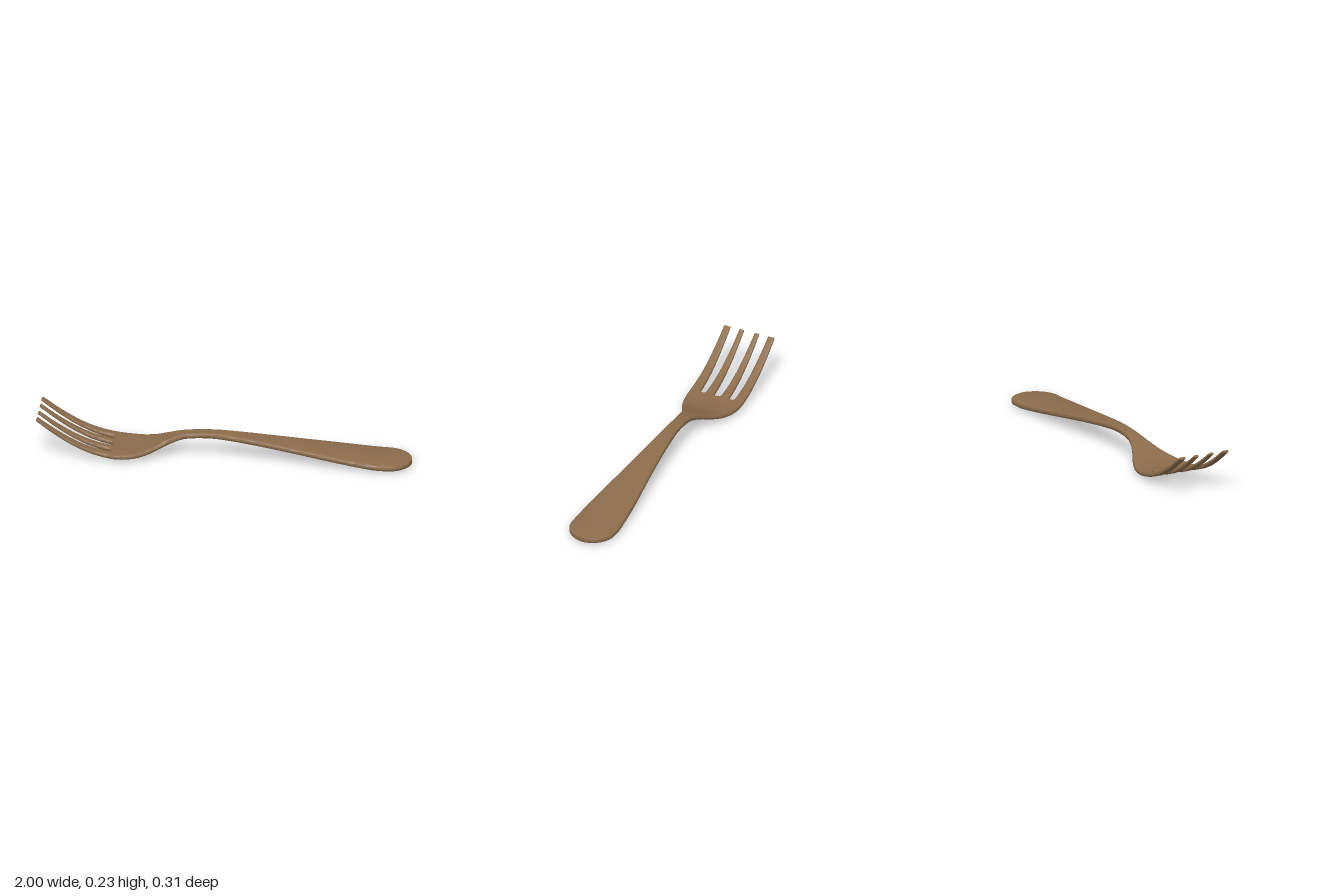
import * as THREE from 'three';
import { toCreasedNormals } from 'three/addons/utils/BufferGeometryUtils.js';

// Smooth curve through [x, value] pairs sorted by x
function smooth(pts) {
  const last = pts.length - 1;
  const slope = (i) => {
    const a = pts[Math.max(i - 1, 0)], b = pts[Math.min(i + 1, last)];
    return (b[1] - a[1]) / (b[0] - a[0]);
  };
  return (x) => {
    let i = 0;
    while (i < last - 1 && x > pts[i + 1][0]) i++;
    const [x0, y0] = pts[i], [x1, y1] = pts[i + 1];
    const h = x1 - x0, t = THREE.MathUtils.clamp((x - x0) / h, 0, 1), u = 1 - t;
    return y0 * (1 + 2 * t) * u * u + slope(i) * h * t * u * u
      + y1 * t * t * (3 - 2 * t) - slope(i + 1) * h * t * t * u;
  };
}

// Height of the centre line, half width, half thickness and crown along x
const spine = smooth([[-1, 0.236], [-0.9, 0.165], [-0.8, 0.106], [-0.7, 0.064], [-0.6, 0.041],
  [-0.53, 0.036], [-0.45, 0.043], [-0.38, 0.063], [-0.3, 0.097], [-0.22, 0.122], [-0.1, 0.132],
  [0, 0.129], [0.2, 0.108], [0.4, 0.083], [0.6, 0.057], [0.8, 0.034], [0.9, 0.03], [1, 0.028]]);
const widthCurve = smooth([[-1, 0.149], [-0.8, 0.153], [-0.6, 0.156], [-0.55, 0.153], [-0.5, 0.144],
  [-0.45, 0.128], [-0.4, 0.106], [-0.35, 0.08], [-0.3, 0.058], [-0.25, 0.043], [-0.2, 0.036],
  [-0.1, 0.035], [0, 0.041], [0.2, 0.06], [0.4, 0.084], [0.6, 0.11], [0.8, 0.129], [0.87, 0.13]]);
const halfThick = smooth([[-1, 0.006], [-0.8, 0.009], [-0.6, 0.012], [-0.4, 0.013], [-0.1, 0.014],
  [0.4, 0.013], [1, 0.013]]);
const crown = smooth([[-0.6, 0], [-0.3, 0.001], [0, 0.002], [0.4, 0.005], [0.75, 0.011], [0.87, 0.011], [1, 0]]);
const halfWidth = (x) => x <= 0.87 ? widthCurve(x)
  : 0.13 * Math.sqrt(Math.max(0.002, 1 - ((x - 0.87) / 0.13) ** 2));

// Rounded, slightly crowned cross-section between z0 and z1, set square to the centre line
function section(x, z0, z1) {
  const w = (z1 - z0) / 2, mid = (z0 + z1) / 2, t = halfThick(x), c = crown(x);
  const r = Math.min(0.75 * t, 0.8 * w), flat = [];
  const corner = (sz, sy, start) => {
    for (let k = 0; k <= 4; k++) {
      const a = start + k * Math.PI / 8;
      flat.push([sz * (w - r) + r * Math.cos(a), sy * (t - r) + r * Math.sin(a)]);
    }
  };
  const face = (s) => {
    for (let k = 1; k < 10; k++) flat.push([s * (w - r) * (1 - k / 5), s * t]);
  };
  corner(1, 1, 0);
  face(1);
  corner(-1, 1, Math.PI / 2);
  corner(-1, -1, Math.PI);
  face(-1);
  corner(1, -1, Math.PI * 1.5);
  const dy = (spine(x + 0.003) - spine(x - 0.003)) / 0.006, len = Math.hypot(1, dy);
  return flat.map(([z, v]) => {
    const n = v + Math.sign(v) * c * (1 - (z / w) ** 2);
    return [x - n * dy / len, spine(x) + n / len, mid + z];
  });
}

// Closed skin over a row of sections running towards -x
function loft(rings) {
  const n = rings[0].length, pos = rings.flat(2), index = [];
  for (let i = 0; i < rings.length - 1; i++) {
    for (let j = 0; j < n; j++) {
      const a = i * n + j, b = i * n + (j + 1) % n;
      index.push(a, b, a + n, b, b + n, a + n);
    }
  }
  for (const end of [0, rings.length - 1]) {
    const centre = pos.length / 3, ring = rings[end];
    for (let k = 0; k < 3; k++) pos.push(ring.reduce((s, p) => s + p[k], 0) / n);
    for (let j = 0; j < n; j++) {
      const a = end * n + j, b = end * n + (j + 1) % n;
      if (end === 0) index.push(centre, b, a);
      else index.push(centre, a, b);
    }
  }
  const geo = new THREE.BufferGeometry();
  geo.setAttribute('position', new THREE.Float32BufferAttribute(pos, 3));
  geo.setIndex(index);
  return toCreasedNormals(geo, 0.8);
}

export function createModel() {
  const group = new THREE.Group();
  group.name = 'fork';
  const bronze = new THREE.MeshStandardMaterial({ color: 0x8b6b4b });
  bronze.name = 'bronze';
  const add = (name, rings) => {
    const mesh = new THREE.Mesh(loft(rings), bronze);
    mesh.name = name;
    group.add(mesh);
  };

  // Handle, neck and head in one piece, with close steps round the handle end
  const xs = [];
  for (let i = 0; i < 16; i++) xs.push(0.87 + 0.13 * Math.cos(i / 16 * Math.PI / 2));
  for (let i = 0; i <= 74; i++) xs.push(0.87 - 1.47 * i / 74);
  add('handleAndHead', xs.map((x) => section(x, -halfWidth(x), halfWidth(x))));

  // Gaps between the tines widen towards the tips and end in a round
  const gap = (x, root, tip) => {
    const round = x > -0.62 ? Math.sqrt(Math.max(0, 1 - ((x + 0.62) / 0.02) ** 2)) : 1;
    return round * THREE.MathUtils.lerp(root, tip, (-0.6 - x) / 0.4);
  };
  const sideGap = (x) => gap(x, 0.016, 0.027), midGap = (x) => gap(x, 0.02, 0.032);
  const tineXs = [];
  for (let i = 0; i < 8; i++) tineXs.push(-0.62 + 0.02 * Math.cos(i / 8 * Math.PI / 2));
  for (let i = 0; i <= 24; i++) tineXs.push(-0.62 - 0.376 * i / 24);
  const tines = {
    OuterTine: (x) => [0.085 + sideGap(x), halfWidth(x)],
    InnerTine: (x) => [midGap(x), 0.085 - sideGap(x)],
  };
  for (const [name, edges] of Object.entries(tines)) {
    add('left' + name, tineXs.map((x) => section(x, ...edges(x))));
    add('right' + name, tineXs.map((x) => {
      const [a, b] = edges(x);
      return section(x, -b, -a);
    }));
  }
  return group;
}
